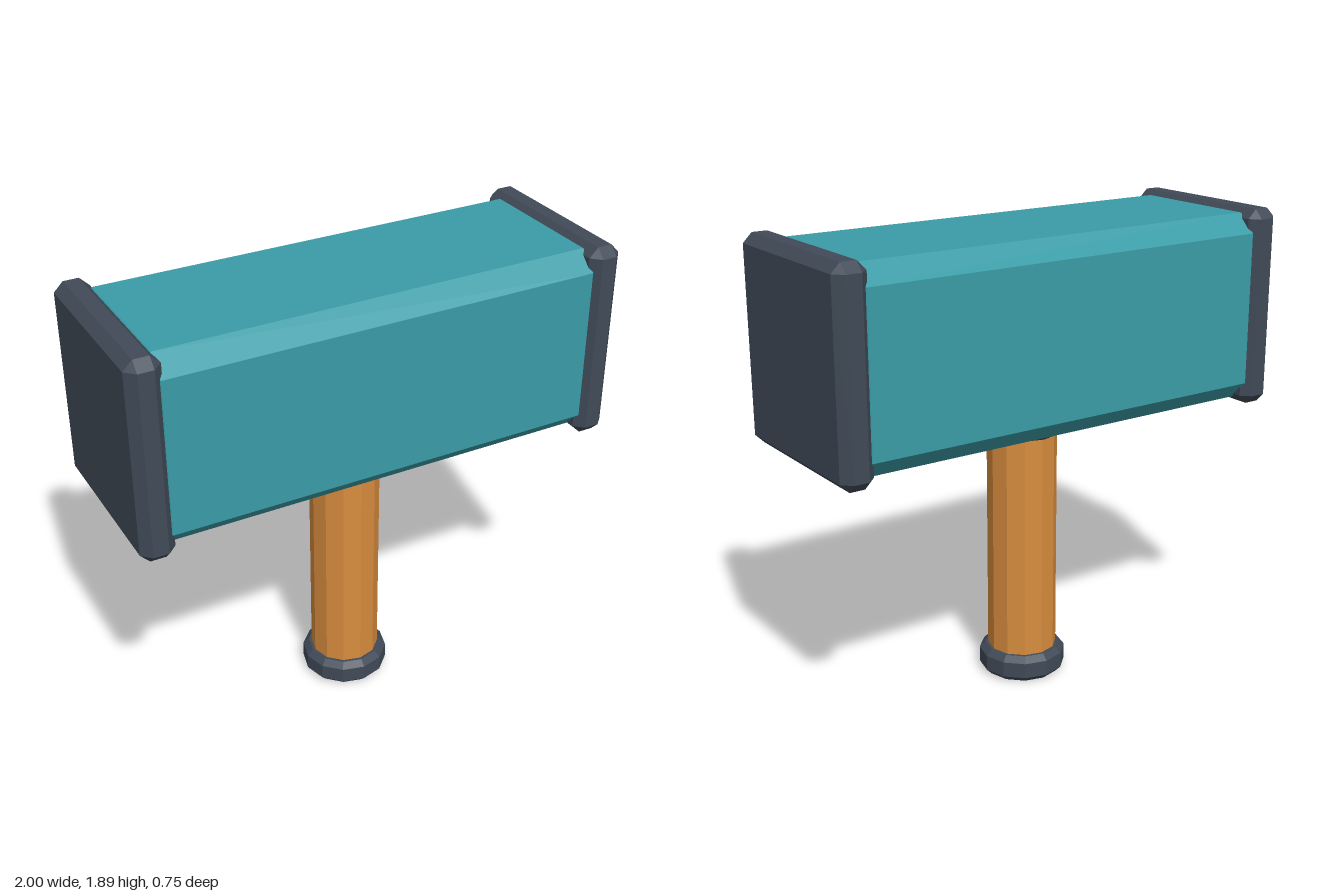
import * as THREE from 'three';
import { ConvexGeometry } from 'three/addons/geometries/ConvexGeometry.js';

// Box with every edge cut by a flat 45 degree bevel
function bevelBox(w, h, d, b) {
  const points = [];
  for (const x of [-w / 2, w / 2]) for (const y of [-h / 2, h / 2]) for (const z of [-d / 2, d / 2]) {
    const sx = Math.sign(x) * b, sy = Math.sign(y) * b, sz = Math.sign(z) * b;
    points.push(
      new THREE.Vector3(x, y - sy, z - sz),
      new THREE.Vector3(x - sx, y, z - sz),
      new THREE.Vector3(x - sx, y - sy, z));
  }
  return new ConvexGeometry(points);
}

// Twelve-sided ring with bevelled rims, standing on y = 0
function bevelDisc(r, h, b) {
  const profile = [[0, 0], [r - b, 0], [r, b], [r, h - b], [r - b, h], [0, h]];
  return new THREE.LatheGeometry(profile.map(([x, y]) => new THREE.Vector2(x, y)), 12);
}

export function createModel() {
  const group = new THREE.Group();
  const material = (name, color) => {
    const m = new THREE.MeshStandardMaterial({ color, flatShading: true });
    m.name = name;
    return m;
  };
  const teal = material('teal', 0x3a9ca7);
  const slate = material('slate', 0x404a57);
  const wood = material('wood', 0xd98d3e);

  const add = (name, geometry, mat, x, y) => {
    const mesh = new THREE.Mesh(geometry, mat);
    mesh.name = name;
    mesh.position.set(x, y, 0);
    group.add(mesh);
  };

  // Hammer head and its two striking caps
  const headY = 1.488;
  add('head', bevelBox(1.9, 0.768, 0.71, 0.074), teal, 0, headY);
  for (const [name, side] of [['leftCap', 1], ['rightCap', -1]]) {
    add(name, bevelBox(0.135, 0.806, 0.75, 0.037), slate, side * 0.9325, headY);
  }

  // Handle with a collar under the head and a pommel at the foot
  add('handle', new THREE.CylinderGeometry(0.142, 0.142, 1.1, 12), wood, 0, 0.6);
  add('pommel', bevelDisc(0.178, 0.112, 0.024), slate, 0, 0);
  add('collar', bevelDisc(0.178, 0.112, 0.024), slate, 0, 1.046);

  return group;
}
